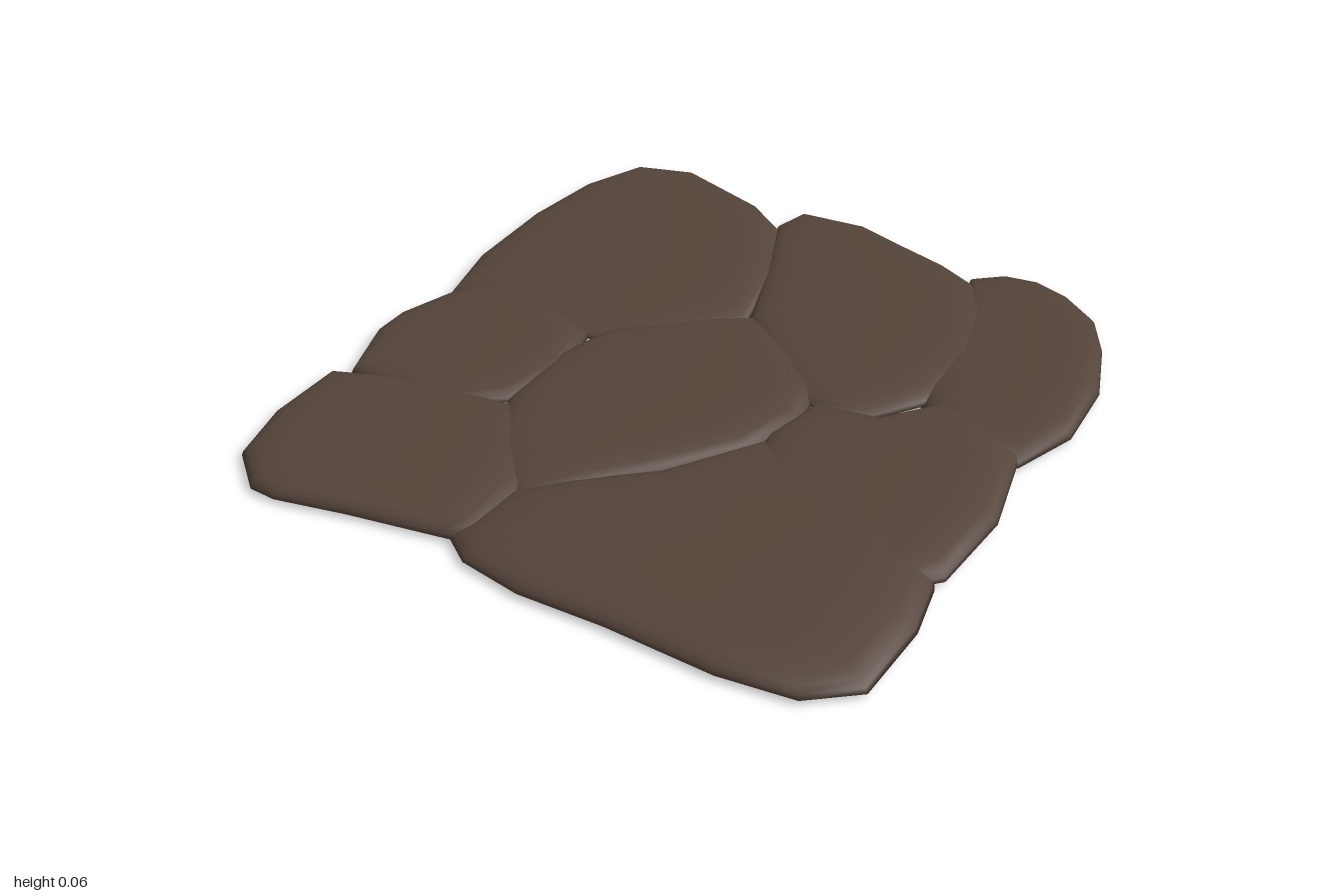
import * as THREE from 'three';

const material = new THREE.MeshStandardMaterial({ color: 0x54443a });

// Cross-section from underside to crown: [share of outline radius, share of height]
// height below zero: share of the rim height; above zero: share from rim to top
const BELOW = [[0.5, 0], [0.86, 0.1], [0.95, 0.4], [1, 1]];
const ABOVE = [[0.985, 0.28], [0.95, 0.55], [0.88, 0.78], [0.76, 0.92], [0.55, 0.98], [0.28, 1]];

// Flat rounded slab lofted from an outline of [x, z] points
function stone(name, outline, rim, top) {
  const n = outline.length;
  let area = 0, cx = 0, cz = 0;
  outline.forEach(([x, z], i) => {
    const [x2, z2] = outline[(i + 1) % n];
    area += x * z2 - x2 * z;
    cx += x / n;
    cz += z / n;
  });
  const pts = area > 0 ? [...outline].reverse() : outline;
  const rings = [
    ...BELOW.map(([s, h]) => [s, h * rim]),
    ...ABOVE.map(([s, h]) => [s, rim + h * (top - rim)]),
  ];
  const pos = [], index = [];
  for (const [s, y] of rings) {
    for (const [x, z] of pts) pos.push(cx + (x - cx) * s, y, cz + (z - cz) * s);
  }
  const bottom = pos.length / 3, crown = bottom + 1;
  pos.push(cx, 0, cz, cx, top, cz);
  const last = (rings.length - 1) * n;
  for (let i = 0; i < n; i++) {
    const j = (i + 1) % n;
    for (let r = 0; r < last; r += n) {
      index.push(r + i, r + j, r + n + j, r + i, r + n + j, r + n + i);
    }
    index.push(bottom, j, i, crown, last + i, last + j);
  }
  const geo = new THREE.BufferGeometry();
  geo.setAttribute('position', new THREE.Float32BufferAttribute(pos, 3));
  geo.setIndex(index);
  geo.computeVertexNormals();
  const mesh = new THREE.Mesh(geo, material);
  mesh.name = name;
  return mesh;
}

export function createModel() {
  const group = new THREE.Group();
  group.name = 'stonePaving';

  // Back row
  group.add(stone('backLeftStone', [
    [-0.68, -1], [-0.85, -0.94], [-0.93, -0.75], [-0.96, -0.5], [-0.95, -0.2], [-0.9, 0],
    [-0.7, 0.02], [-0.4, -0.02], [-0.2, -0.12], [-0.06, -0.33], [-0.12, -0.6], [-0.24, -0.83],
    [-0.38, -0.92],
  ], 0.024, 0.06));
  group.add(stone('backMiddleStone', [
    [-0.23, -0.96], [-0.03, -0.99], [0.15, -0.945], [0.3, -0.91], [0.42, -0.86], [0.54, -0.73],
    [0.6, -0.5], [0.57, -0.26], [0.46, -0.1], [0.28, -0.07], [0.08, -0.2], [-0.06, -0.34],
    [-0.16, -0.6], [-0.26, -0.85],
  ], 0.024, 0.061));
  group.add(stone('backRightStone', [
    [0.39, -0.9], [0.47, -0.97], [0.57, -0.99], [0.68, -0.96], [0.8, -0.88], [0.87, -0.76],
    [0.94, -0.56], [0.95, -0.33], [0.88, -0.14], [0.68, -0.12], [0.54, -0.25], [0.46, -0.6],
  ], 0.014, 0.055));

  // Middle row
  group.add(stone('middleLeftStone', [
    [-0.8, -0.12], [-0.6, -0.1], [-0.42, -0.04], [-0.37, 0.15], [-0.41, 0.34], [-0.58, 0.46],
    [-0.88, 0.47], [-0.95, 0.28], [-0.95, 0.18], [-0.89, 0],
  ], 0.02, 0.057));
  group.add(stone('centerStone', [
    [-0.05, -0.36], [0.13, -0.29], [0.28, -0.15], [0.31, 0], [0.26, 0.18], [0.12, 0.38],
    [-0.02, 0.54], [-0.15, 0.66], [-0.32, 0.56], [-0.42, 0.35], [-0.43, 0.1], [-0.38, -0.08],
    [-0.22, -0.24],
  ], 0.024, 0.061));
  group.add(stone('middleRightStone', [
    [0.3, -0.08], [0.48, -0.12], [0.6, -0.27], [0.72, -0.27], [0.87, -0.17], [0.93, 0.1],
    [0.91, 0.36], [0.8, 0.48], [0.5, 0.48], [0.32, 0.32], [0.26, 0.1],
  ], 0.02, 0.059));

  // Front row
  group.add(stone('frontLeftStone', [
    [-0.93, 0.5], [-0.75, 0.42], [-0.38, 0.35], [-0.24, 0.44], [-0.15, 0.62], [-0.14, 0.82],
    [-0.2, 0.87], [-0.48, 0.935], [-0.68, 0.99], [-0.76, 0.99], [-0.88, 0.9], [-0.93, 0.72],
  ], 0.014, 0.058));
  group.add(stone('frontRightStone', [
    [0.27, 0.12], [0.1, 0.38], [-0.08, 0.54], [-0.18, 0.66], [-0.2, 0.87], [-0.12, 0.92],
    [0.06, 0.94], [0.3, 0.92], [0.6, 0.915], [0.8, 0.88], [0.92, 0.78], [0.93, 0.55],
    [0.9, 0.4], [0.85, 0.3], [0.81, 0.17], [0.62, 0.22], [0.4, 0.18],
  ], 0.016, 0.061));

  return group;
}
